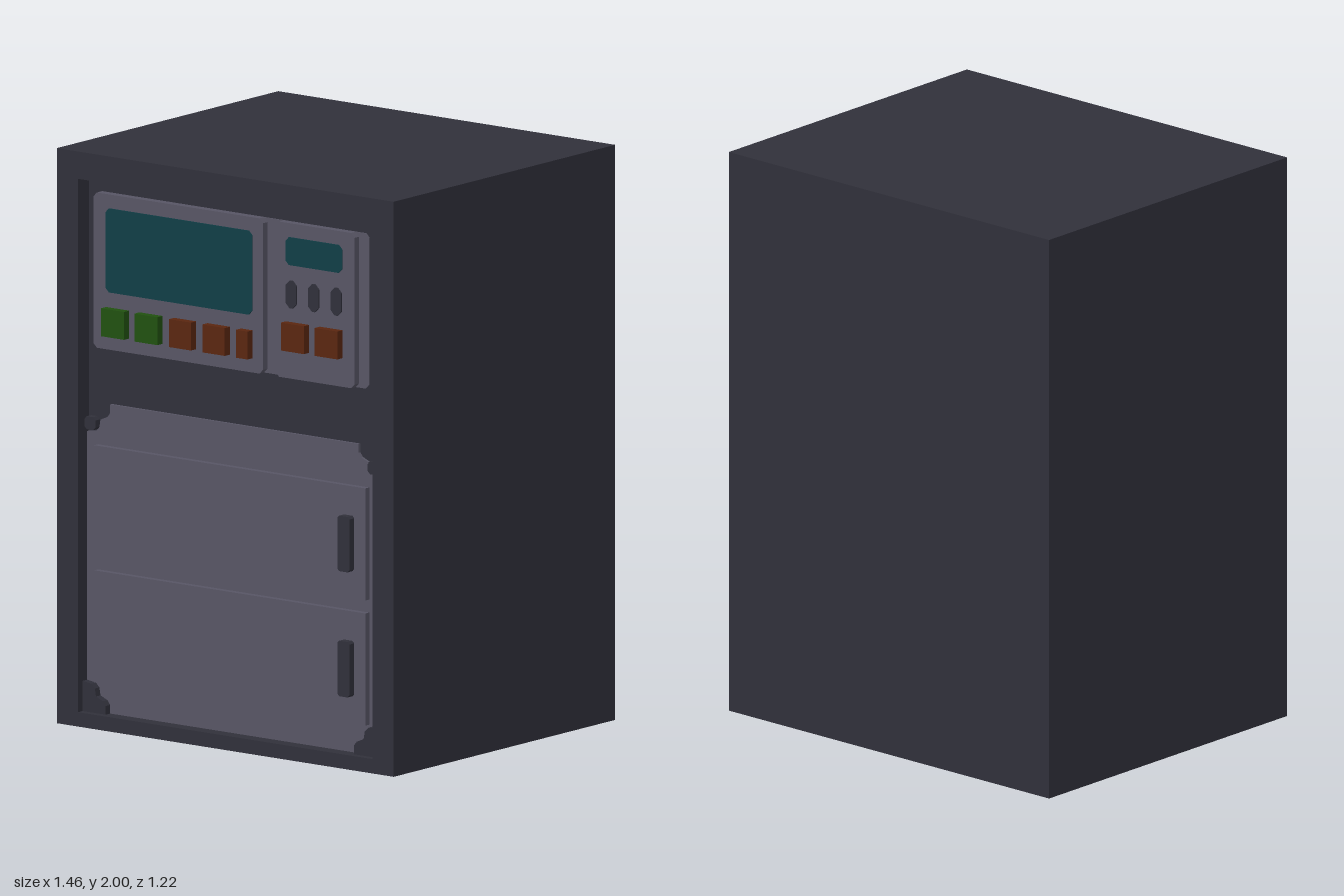
import * as THREE from 'three';

const mat = (name, color) => new THREE.MeshStandardMaterial({ name, color });

export function createModel() {
  const group = new THREE.Group();
  const dark = mat('dark casing', 0x30303a);
  const grey = mat('grey panel', 0x575564);
  const teal = mat('teal screen', 0x103e46);
  const green = mat('green button', 0x215010);
  const orange = mat('orange button', 0x5a2610);
  const BACK = 0.55; // floor of the front recess

  // Rectangle outline with cut corners
  const outline = (x0, x1, y0, y1, c = 0) => {
    const pts = c
      ? [[x0 + c, y0], [x1 - c, y0], [x1, y0 + c], [x1, y1 - c], [x1 - c, y1], [x0 + c, y1], [x0, y1 - c], [x0, y0 + c]]
      : [[x0, y0], [x1, y0], [x1, y1], [x0, y1]];
    return pts.map(p => new THREE.Vector2(...p));
  };
  const extrude = (name, shape, z0, z1, material) => {
    const geo = new THREE.ExtrudeGeometry(shape, { depth: z1 - z0, bevelEnabled: false });
    geo.translate(0, 0, z0);
    const mesh = new THREE.Mesh(geo, material);
    mesh.name = name;
    group.add(mesh);
  };
  const plate = (name, x0, x1, y0, y1, z0, z1, material, c = 0) =>
    extrude(name, new THREE.Shape(outline(x0, x1, y0, y1, c)), z0, z1, material);

  // Cabinet body and raised front frame
  plate('cabinetBody', -0.73, 0.73, 0, 2, -0.61, BACK, dark);
  const frame = new THREE.Shape(outline(-0.73, 0.73, 0, 2));
  frame.holes.push(new THREE.Path(outline(-0.638, 0.638, 0.05, 1.905).reverse()));
  extrude('frontFrame', frame, BACK, 0.61, dark);

  // Control panel: backing plate with two raised plates
  plate('controlBacking', -0.59, 0.58, 1.32, 1.86, BACK, 0.555, grey, 0.015);
  plate('mainControlPlate', -0.595, 0.14, 1.32, 1.86, BACK, 0.58, grey, 0.015);
  plate('sideControlPlate', 0.195, 0.537, 1.32, 1.86, BACK, 0.58, grey, 0.015);
  plate('mainScreen', -0.54, 0.095, 1.52, 1.812, 0.58, 0.584, teal, 0.015);
  plate('smallScreen', 0.24, 0.485, 1.715, 1.812, 0.58, 0.584, teal, 0.015);
  for (const x of [0.265, 0.362, 0.46])
    plate('slot', x - 0.023, x + 0.023, 1.565, 1.662, 0.58, 0.585, dark, 0.017);

  // Push buttons
  const buttons = [
    [-0.54, -0.44, 1.37, green], [-0.395, -0.295, 1.37, green],
    [-0.245, -0.15, 1.37, orange], [-0.1, -0.003, 1.37, orange], [0.045, 0.095, 1.37, orange],
    [0.24, 0.34, 1.42, orange], [0.387, 0.485, 1.42, orange],
  ];
  for (const [x0, x1, y, m] of buttons) plate('button', x0, x1, y, y + 0.097, 0.58, 0.62, m);

  // Lower panel with stepped corners, each holding a dark bracket
  const step = [[0.638, 0.105], [0.6, 0.1], [0.585, 0.085], [0.58, 0.058], [0.55, 0.045], [0.538, 0.03], [0.538, 0]];
  const corner = (sx, top) => step.map(([x, d]) => new THREE.Vector2(sx * x, top ? 1.125 - d : 0.05 + d));
  extrude('lowerPanel', new THREE.Shape([
    ...corner(-1, false), ...corner(1, false).reverse(),
    ...corner(1, true), ...corner(-1, true).reverse(),
  ]), BACK, 0.56, grey);
  for (const sx of [-1, 1]) {
    const y = 0.05;
    extrude('cornerBracket', new THREE.Shape([...corner(sx, false), new THREE.Vector2(sx * 0.638, y)]), BACK, 0.585, dark);
    const x0 = Math.min(sx * 0.59, sx * 0.638), x1 = Math.max(sx * 0.59, sx * 0.638);
    plate('upperCornerBracket', x0, x1, 1.03, 1.075, BACK, 0.575, dark, 0.01);
  }

  // Drawers with upright handles
  for (const y of [0.155, 0.59]) {
    plate('drawer', -0.59, 0.585, y, y + 0.39, 0.56, 0.582, grey);
    plate('drawerHandle', 0.485, 0.537, y + 0.095, y + 0.288, 0.582, 0.62, dark, 0.008);
  }
  // Keep the overall depth within the frame
  group.children.filter(m => /button|Handle/.test(m.name)).forEach(m => { m.position.z = -0.011; });
  return group;
}
